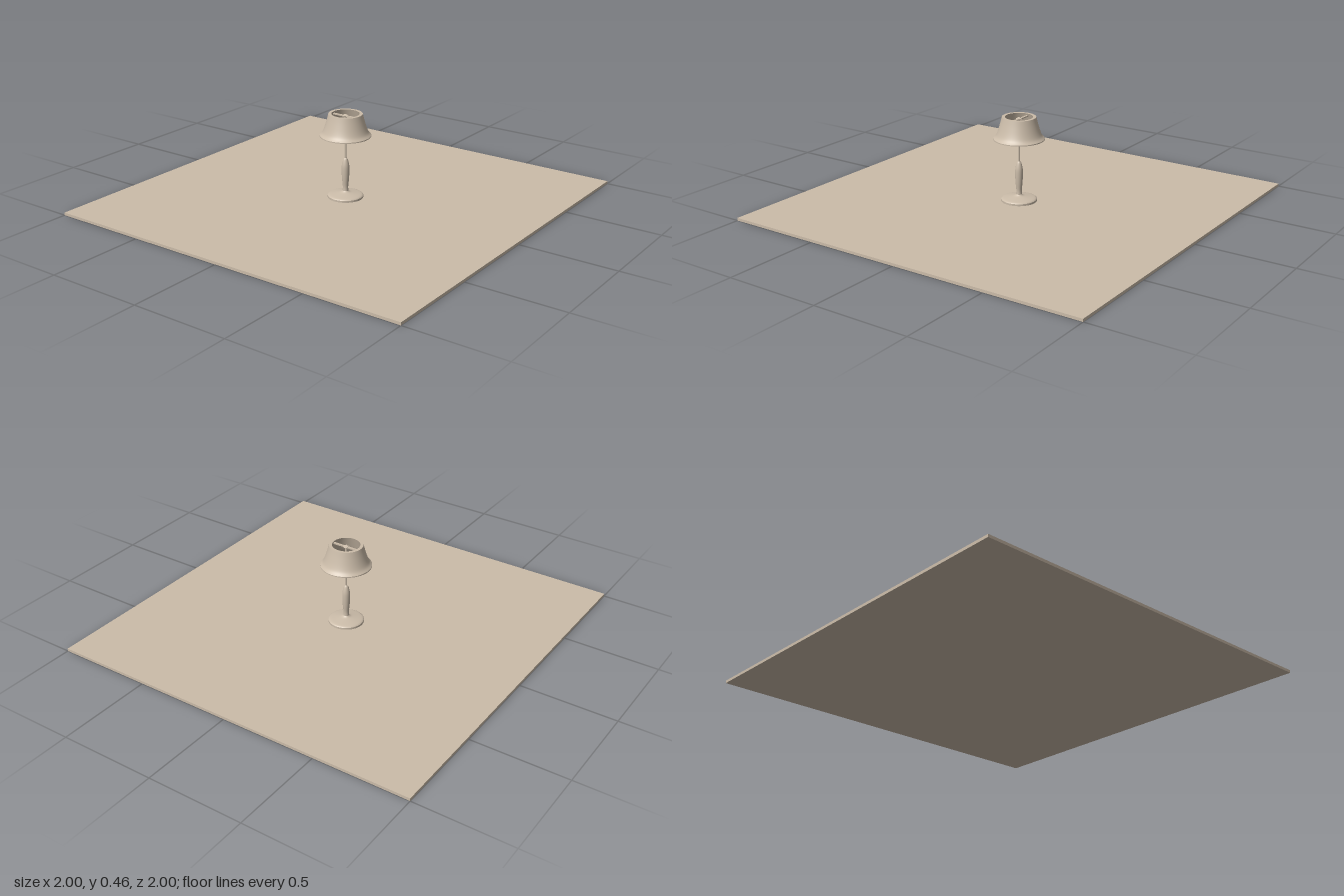
import * as THREE from 'three';

export function createModel() {
  const group = new THREE.Group();
  const beige = new THREE.MeshStandardMaterial({ color: 0xcbbca9 });
  beige.name = 'beige';

  const add = (name, geometry, x = 0, y = 0, z = 0) => {
    const mesh = new THREE.Mesh(geometry, beige);
    mesh.name = name;
    mesh.position.set(x, y, z);
    group.add(mesh);
    return mesh;
  };
  // Each run of points is turned separately, so edges between runs stay crisp
  const turned = (name, ...runs) => runs.forEach((run) =>
    add(name, new THREE.LatheGeometry(run.map(([r, y]) => new THREE.Vector2(r, y)), 48)));
  const smooth = (points, n = 16) => new THREE.SplineCurve(
    points.map(([r, y]) => new THREE.Vector2(r, y))).getPoints(n).map((p) => [p.x, p.y]);

  // Thin square table top
  add('tableTop', new THREE.BoxGeometry(2, 0.014, 2), 0, 0.007, 0);

  // Round foot with a gently domed top
  turned('foot',
    [[0.092, 0.014], [0.092, 0.024]],
    smooth([[0.092, 0.024], [0.083, 0.03], [0.05, 0.036], [0.025, 0.041], [0.015, 0.048]]));

  // Turned stem with a slim swelling
  turned('stem',
    smooth([[0.015, 0.046], [0.014, 0.07], [0.018, 0.11], [0.02, 0.15], [0.019, 0.185], [0.012, 0.215], [0.006, 0.225]], 24),
    [[0.006, 0.225], [0, 0.225]]);

  // Rod up to the shade
  add('rod', new THREE.CylinderGeometry(0.005, 0.005, 0.23, 16), 0, 0.335, 0);

  // Hollow flared shade: outside, top rim, inside, bottom rim
  const outer = smooth([[0.131, 0.348], [0.118, 0.362], [0.107, 0.388], [0.095, 0.428], [0.087, 0.46]]);
  const inner = smooth([[0.071, 0.46], [0.082, 0.428], [0.096, 0.388], [0.109, 0.362], [0.122, 0.343]]);
  turned('shade',
    [[0.131, 0.343], [0.131, 0.348]], outer,
    [[0.087, 0.46], [0.071, 0.46]], inner,
    [[0.122, 0.343], [0.131, 0.343]]);

  // Cross bar and finial holding the shade
  add('crossBar', new THREE.BoxGeometry(0.148, 0.006, 0.012), 0, 0.447, 0);
  const finial = add('finial', new THREE.OctahedronGeometry(0.02), 0, 0.449, 0);
  finial.scale.y = 0.5;

  return group;
}
